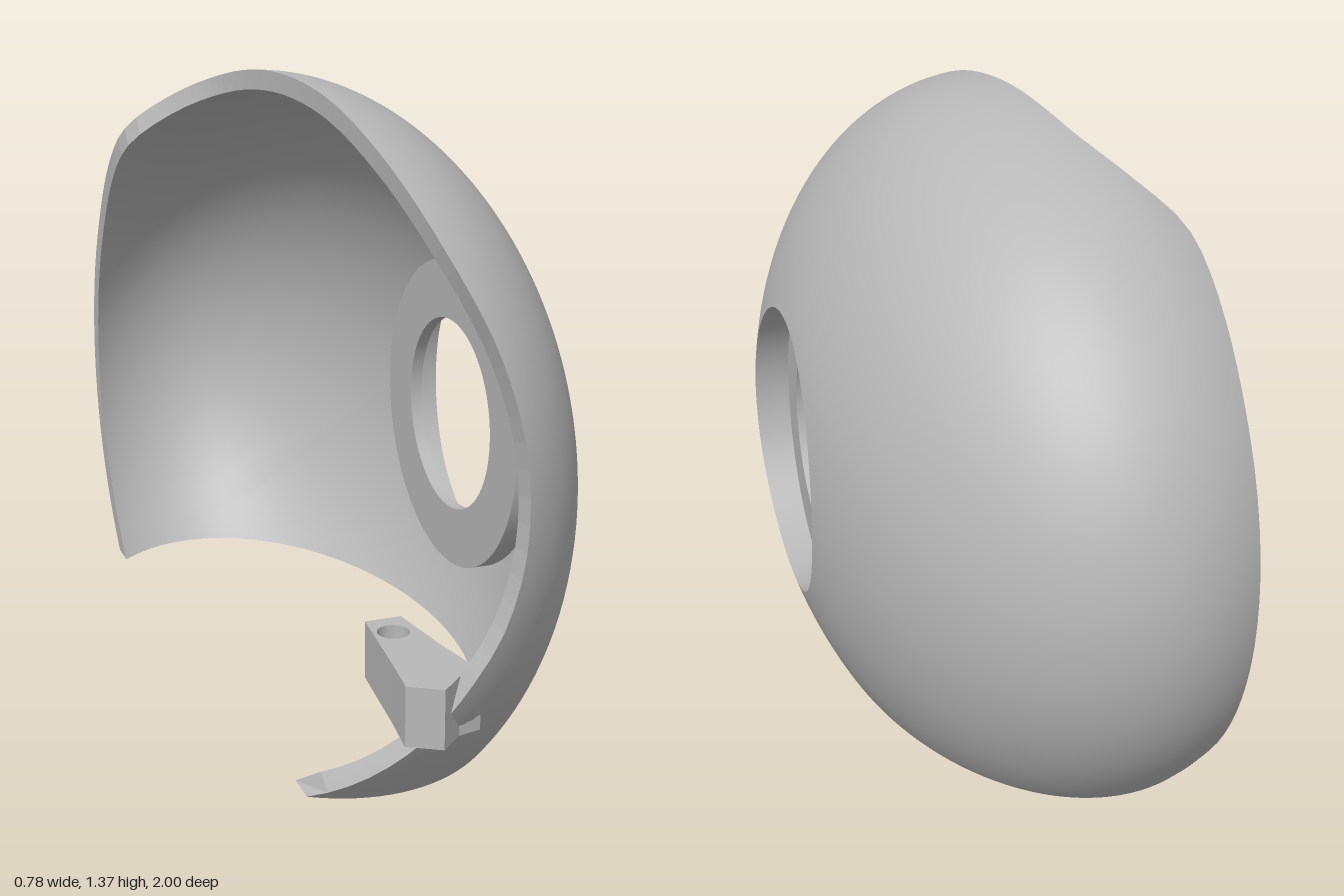
import * as THREE from 'three';

const N = 160, H = N / 2, STEPS = 28;
const C = new THREE.Vector3(-0.19, 0.525, 0.02); // centre of the ellipsoid
const OUTER = new THREE.Vector3(0.615, 0.85, 1.02);
const INNER = OUTER.clone().subScalar(0.045);
const HUB_Y = 0.53;
const TIP_X = -0.36, BACK_X = -0.39;

// Course of the face opening: front edge, over the top, then down the flat back cut
const opening = new THREE.CatmullRomCurve3([
  [-0.36, 0, 0.77], [-0.27, 0.08, 0.87], [-0.18, 0.18, 0.95], [-0.1, 0.3, 1], [-0.04, 0.4, 1],
  [0.01, 0.55, 0.98], [0.025, 0.72, 0.95], [0, 0.9, 0.9], [-0.07, 1.1, 0.74], [-0.115, 1.25, 0.53],
  [-0.145, 1.35, 0.25], [-0.175, 1.375, 0], [-0.2, 1.35, -0.17], [-0.23, 1.32, -0.28],
  [-0.3, 1.26, -0.4], [-0.37, 1.2, -0.48], [-0.39, 1.17, -0.54], [-0.39, 0.9, -0.83],
  [-0.39, 0.525, -0.945], [-0.39, 0.25, -0.9], [-0.39, 0, -0.71],
].map((p) => new THREE.Vector3(...p)));

const toUnit = (p, axes) => p.clone().sub(C).divide(axes);
const fromUnit = (u, axes) => {
  const p = u.clone().multiply(axes).add(C);
  p.y = Math.max(0, p.y);
  return p;
};

// Circle around the side hole, at a fixed x
function circle(r, x) {
  return Array.from({ length: N }, (_, i) => {
    const t = (i / N) * Math.PI * 2;
    return new THREE.Vector3(x, HUB_Y + r * Math.sin(t), C.z + r * Math.cos(t));
  });
}

// The same circle laid onto the ellipsoid
function circleOnShell(r, axes) {
  return circle(r, 0).map((p) => {
    const u = toUnit(p, axes);
    u.x = Math.sqrt(1 - u.y * u.y - u.z * u.z);
    return fromUnit(u, axes);
  });
}

// Outer boundary: the opening (first half) and the flat bottom (second half)
function rimLoop(axes) {
  const k = Math.sqrt(1 - (C.y / axes.y) ** 2);
  const t0 = Math.acos((TIP_X - C.x) / (axes.x * k));
  const t1 = -Math.acos((BACK_X - C.x) / (axes.x * k));
  return Array.from({ length: N }, (_, i) => {
    if (i > 0 && i < H) {
      const u = toUnit(opening.getPointAt(i / H), axes);
      const s = Math.sqrt(1 - u.x * u.x) / Math.hypot(u.y, u.z);
      u.y *= s;
      u.z *= s;
      return fromUnit(u, axes);
    }
    const t = i === 0 ? t0 : THREE.MathUtils.lerp(t1, t0, (i - H) / H);
    return new THREE.Vector3(C.x + axes.x * k * Math.cos(t), 0, C.z + axes.z * k * Math.sin(t));
  });
}

// Loops running over the ellipsoid from the hub to the rim
function shellLoops(r, axes) {
  const a = circleOnShell(r, axes).map((p) => toUnit(p, axes));
  const b = rimLoop(axes).map((p) => toUnit(p, axes));
  return Array.from({ length: STEPS + 1 }, (_, j) =>
    a.map((p, i) => fromUnit(p.clone().lerp(b[i], j / STEPS).normalize(), axes)));
}

// Skin over closed loops
function loft(loops, flat = false) {
  const index = [];
  for (let j = 0; j < loops.length - 1; j++) {
    for (let i = 0; i < N; i++) {
      const n = (i + 1) % N, a = j * N, b = a + N;
      index.push(a + i, a + n, b + i, a + n, b + n, b + i);
    }
  }
  let geo = new THREE.BufferGeometry().setFromPoints(loops.flat());
  geo.setIndex(index);
  if (flat) geo = geo.toNonIndexed();
  geo.computeVertexNormals();
  return geo;
}

export function createModel() {
  const group = new THREE.Group();
  const grey = new THREE.MeshStandardMaterial({ color: 0xb8b8b8, side: THREE.DoubleSide });
  grey.name = 'grey';
  const add = (name, geo) => {
    const mesh = new THREE.Mesh(geo, grey);
    mesh.name = name;
    group.add(mesh);
  };

  // Curved shell with thickness
  const outer = shellLoops(0.34, OUTER);
  const inner = shellLoops(0.38, INNER);
  add('outerShell', loft(outer));
  add('shellRim', loft([outer[STEPS], inner[STEPS]], true));
  add('innerShell', loft([...inner].reverse()));

  // Recessed round seat with a through hole
  const floorX = 0.305, backX = 0.275, hole = 0.237;
  add('seatOuterWall', loft([inner[0], circle(0.38, backX)]));
  add('seatBack', loft([circle(0.38, backX), circle(hole, backX)]));
  add('holeWall', loft([circle(hole, backX), circle(hole, floorX)]));
  add('seatFloor', loft([circle(hole, floorX), circle(0.34, floorX)]));
  add('recessWall', loft([circle(0.34, floorX), outer[0]]));

  // Mounting tab inside the lower front edge, with a vertical screw hole
  const tab = new THREE.Shape([
    [-0.185, 0.64], [-0.105, 0.64], [-0.085, 0.8], [-0.06, 0.94], [-0.11, 0.95],
    [-0.16, 0.995], [-0.225, 0.955], [-0.21, 0.85],
  ].map((p) => new THREE.Vector2(...p)));
  const screw = new THREE.Path();
  screw.absarc(-0.15, 0.71, 0.034, 0, Math.PI * 2, true);
  tab.holes.push(screw);
  const tabGeo = new THREE.ExtrudeGeometry(tab, { depth: 0.125, bevelEnabled: false, curveSegments: 24 });
  tabGeo.rotateX(Math.PI / 2).translate(0, 0.3, 0);
  add('mountingTab', tabGeo);

  return group;
}
